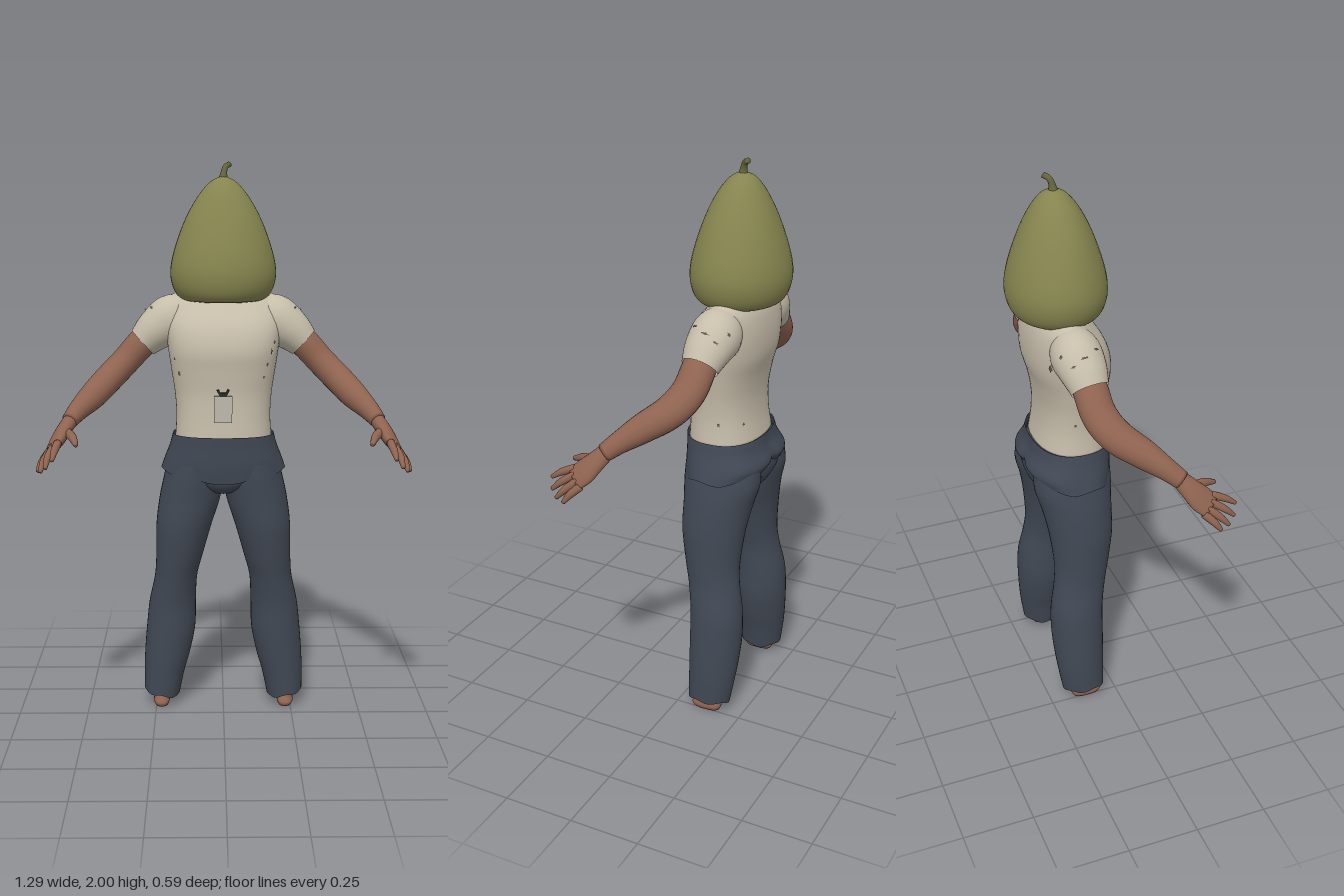
import * as THREE from 'three';

const V = (x, y, z) => new THREE.Vector3(x, y, z);
const paint = (name, color, side = THREE.FrontSide) => {
  const m = new THREE.MeshStandardMaterial({ color, side });
  m.name = name;
  return m;
};

// Smooth body through stations [x, y, z, radiusA, radiusB, roundness].
// Without ref the rings lie flat (stations go upward); with ref they follow the path.
function loft(stations, { ref = null, caps = true, nu = 32, nv = 32, bend = null } = {}) {
  const path = new THREE.CatmullRomCurve3(stations.map((s) => V(s[0], s[1], s[2])));
  const size = new THREE.CatmullRomCurve3(stations.map((s) => V(s[3], s[4], s[5] || 2)));
  // plain uniform spline keeps both curves in step
  path.curveType = size.curveType = 'catmullrom';
  const point = (u, v) => {
    const c = path.getPoint(v), r = size.getPoint(v);
    let e1 = V(1, 0, 0), e2 = V(0, 0, 1);
    if (ref) {
      const t = path.getTangent(v);
      e1 = ref.clone().addScaledVector(t, -ref.dot(t)).normalize();
      e2 = e1.clone().cross(t);
    }
    const round = (k) => Math.sign(k) * Math.pow(Math.abs(k), 2 / r.z);
    c.addScaledVector(e1, round(Math.cos(u)) * r.x).addScaledVector(e2, round(Math.sin(u)) * r.y);
    if (bend) bend(c, u, v);
    return c;
  };
  const pos = [], idx = [];
  for (let j = 0; j <= nv; j++)
    for (let i = 0; i < nu; i++) pos.push(...point((i / nu) * Math.PI * 2, j / nv).toArray());
  for (let j = 0; j < nv; j++)
    for (let i = 0; i < nu; i++) {
      const a = j * nu + i, b = j * nu + ((i + 1) % nu);
      idx.push(a, a + nu, b, b, a + nu, b + nu);
    }
  if (caps) {
    const lo = pos.length / 3, hi = lo + 1, top = nv * nu;
    pos.push(...path.getPoint(0).toArray(), ...path.getPoint(1).toArray());
    for (let i = 0; i < nu; i++) {
      const k = (i + 1) % nu;
      idx.push(lo, i, k, hi, top + k, top + i);
    }
  }
  const geo = new THREE.BufferGeometry();
  geo.setAttribute('position', new THREE.Float32BufferAttribute(pos, 3));
  geo.setIndex(idx);
  geo.computeVertexNormals();
  return { geo, point };
}

// Ragged thin patch lying just above a lofted surface
function tear(point, u, v, du, dv) {
  const lift = (a, b) => {
    const p = point(a, b), e = 0.004;
    const n = point(a, b + e).sub(p).cross(point(a + e, b).sub(p)).normalize();
    return p.addScaledVector(n, 0.003);
  };
  const pos = [...lift(u, v).toArray()], idx = [], n = 9;
  for (let i = 0; i < n; i++) {
    const a = (i / n) * Math.PI * 2, k = 0.75 + 0.25 * Math.sin(i * 2.7 + u * 5);
    pos.push(...lift(u + du * k * Math.cos(a), v + dv * k * Math.sin(a)).toArray());
    idx.push(0, i + 1, ((i + 1) % n) + 1);
  }
  const geo = new THREE.BufferGeometry();
  geo.setAttribute('position', new THREE.Float32BufferAttribute(pos, 3));
  geo.setIndex(idx);
  geo.computeVertexNormals();
  return geo;
}

export function createModel() {
  const D = THREE.DoubleSide;
  const gourd = paint('gourd green', 0x86854f), stalk = paint('stalk olive', 0x66653c);
  const cloth = paint('shirt cream', 0xc6bdaa, D), denim = paint('trouser blue', 0x414854, D);
  const skin = paint('skin brown', 0x8f6350), torn = paint('torn shadow', 0x62594c, D);
  const card = paint('badge grey', 0xbdb9ac), dark = paint('clip dark', 0x2c2b29);

  const model = new THREE.Group();
  const add = (name, geo, mat) => {
    const m = new THREE.Mesh(geo, mat);
    m.name = name;
    model.add(m);
    return m;
  };

  // Gourd head and its curved stalk
  add('gourdHead', loft([
    [0, 1.512, -0.125, 0.11, 0.1], [0, 1.522, -0.125, 0.152, 0.14], [0, 1.56, -0.126, 0.179, 0.163],
    [0, 1.62, -0.127, 0.189, 0.17], [0, 1.7, -0.127, 0.173, 0.155], [0, 1.8, -0.127, 0.136, 0.121],
    [0, 1.88, -0.128, 0.091, 0.083], [0, 1.93, -0.13, 0.048, 0.046], [0, 1.95, -0.13, 0.012, 0.012],
  ], { nu: 40, nv: 40 }).geo, gourd);
  add('stalk', loft([
    [0, 1.935, -0.13, 0.02, 0.02], [0.002, 1.96, -0.132, 0.012, 0.012],
    [0.008, 1.983, -0.14, 0.01, 0.01], [0.022, 1.993, -0.156, 0.01, 0.01],
  ], { ref: V(1, 0, 0), nu: 10, nv: 12 }).geo, stalk);
  add('neck', new THREE.CylinderGeometry(0.06, 0.07, 0.12, 20).translate(0, 1.54, -0.13), skin);

  // Shirt body
  const shirt = loft([
    [0, 1.025, -0.092, 0.174, 0.13, 2.3], [0, 1.11, -0.088, 0.169, 0.12, 2.3],
    [0, 1.19, -0.088, 0.174, 0.118, 2.3], [0, 1.27, -0.09, 0.186, 0.127, 2.4],
    [0, 1.35, -0.097, 0.198, 0.14, 2.5], [0, 1.43, -0.11, 0.208, 0.128, 2.5],
    [0, 1.5, -0.13, 0.205, 0.095, 2.3], [0, 1.54, -0.135, 0.175, 0.065, 2], [0, 1.555, -0.135, 0.1, 0.04, 2],
  ], { nu: 48, nv: 40 });
  add('shirt', shirt.geo, cloth);
  [[0.7, 0.42, 0.05, 0.014], [0.62, 0.49, 0.04, 0.02], [0.75, 0.35, 0.05, 0.01], [0.55, 0.54, 0.05, 0.012],
    [2.5, 0.37, 0.05, 0.02], [2.6, 0.45, 0.04, 0.01], [-0.95, 0.12, 0.04, 0.014], [-2.4, 0.57, 0.06, 0.03],
    [-0.25, 0.13, 0.05, 0.014], [-2.9, 0.2, 0.05, 0.012],
  ].forEach((t) => add('shirtTear', tear(shirt.point, ...t), torn));

  // Badge with clip
  const badge = new THREE.Group();
  badge.name = 'badge';
  const plate = (name, w, h, x, y, z, mat, tilt = 0) => {
    const m = new THREE.Mesh(new THREE.BoxGeometry(w, h, 0.008), mat);
    m.name = name;
    m.position.set(x, y, z);
    m.rotation.z = tilt;
    badge.add(m);
  };
  plate('badgeCard', 0.064, 0.095, -0.002, 1.143, 0.036, card);
  plate('badgeClip', 0.022, 0.014, -0.002, 1.196, 0.037, dark);
  for (const s of [-1, 1]) plate('clipProng', 0.008, 0.024, -0.002 + s * 0.014, 1.203, 0.037, dark, -s * 0.5);
  model.add(badge);

  // Trouser seat and the loose folded waist over it
  add('trouserSeat', loft([
    [0, 0.83, -0.1, 0.05, 0.09], [0, 0.86, -0.104, 0.13, 0.125], [0, 0.92, -0.11, 0.19, 0.14, 2.3],
    [0, 1.035, -0.093, 0.172, 0.13, 2.3],
  ], { nu: 40, nv: 16 }).geo, denim);
  add('foldedWaist', loft([
    [0, 0.91, -0.11, 0.226, 0.143, 2.3], [0, 0.95, -0.113, 0.212, 0.153, 2.4],
    [0, 1.0, -0.1, 0.193, 0.141, 2.4], [0, 1.042, -0.093, 0.182, 0.136, 2.4],
  ], {
    caps: false, nu: 64, nv: 14,
    bend: (p, u, v) => {
      const f = Math.sin(u);
      p.y += (1 - v) ** 2 * ((f > 0 ? -0.035 * f ** 3 : 0.015 * f * f) + 0.004 * Math.sin(u * 7));
      if (f < 0) p.z += 0.02 * (1 - v) * Math.exp(-((p.x / 0.025) ** 2));
    },
  }).geo, denim);

  for (const s of [1, -1]) {
    const side = s > 0 ? 'left' : 'right';
    const P = (rows) => rows.map(([x, ...r]) => [x * s, ...r]);
    const part = (name, rows, opt, mat) => add(side + name, loft(P(rows), opt).geo, mat);

    // Trouser leg, hem rising toward the outside
    part('TrouserLeg', [
      [0.23, 0.05, -0.122, 0.065, 0.078], [0.221, 0.125, -0.127, 0.074, 0.085],
      [0.209, 0.2, -0.13, 0.084, 0.091], [0.195, 0.3, -0.132, 0.09, 0.096],
      [0.188, 0.4, -0.13, 0.086, 0.096], [0.175, 0.5, -0.114, 0.078, 0.095],
      [0.162, 0.58, -0.102, 0.085, 0.1], [0.144, 0.7, -0.097, 0.101, 0.115],
      [0.122, 0.8, -0.104, 0.111, 0.126], [0.108, 0.88, -0.112, 0.108, 0.139], [0.1, 0.94, -0.112, 0.1, 0.138],
    ], {
      caps: false, nu: 36, nv: 44,
      bend: (p, u, v) => { p.y += Math.max(0, 1 - v * 8) * (0.012 * s * Math.cos(u) + 0.004 * Math.sin(u * 5)); },
    }, denim);

    // Ankle and bare foot
    part('Foot', [
      [0.23, 0.005, -0.112, 0.024, 0.05, 2.6], [0.231, 0.02, -0.113, 0.03, 0.056, 2.6],
      [0.23, 0.045, -0.12, 0.028, 0.048], [0.228, 0.1, -0.125, 0.035, 0.038], [0.222, 0.16, -0.127, 0.036, 0.036],
    ], { nu: 20, nv: 14 }, skin);

    // Sleeve with tears
    const ref = V(0, 0, 1);
    const sleeve = loft(P([
      [0.13, 1.452, -0.13, 0.07, 0.08], [0.185, 1.445, -0.127, 0.086, 0.09],
      [0.24, 1.41, -0.12, 0.08, 0.076], [0.289, 1.365, -0.115, 0.064, 0.058],
    ]), { ref, caps: false, nu: 36, nv: 20 });
    add(side + 'Sleeve', sleeve.geo, cloth);
    const up = s > 0 ? -Math.PI / 2 : Math.PI / 2; // ring angle facing upward
    [[0.1, 0.6, 0.22, 0.022], [-0.5, 0.52, 0.16, 0.02], [0.65, 0.66, 0.16, 0.022], [0.95, 0.45, 0.1, 0.03],
      [2.5, 0.93, 0.2, 0.02],
    ].forEach(([du, v, a, b]) => {
      const top = sleeve.point(up, v).y > sleeve.point(-up, v).y ? up : -up;
      const turn = top > 0 ? Math.PI - top - Math.PI / 2 + Math.PI / 2 + du : top - du;
      add(side + 'SleeveTear', tear(sleeve.point, top > 0 ? turn - Math.PI + 2 * top : turn, v, a, b), torn);
    });

    // Bare arm
    part('Arm', [
      [0.21, 1.43, -0.12, 0.055, 0.05], [0.29, 1.365, -0.115, 0.059, 0.053], [0.35, 1.3, -0.106, 0.06, 0.051],
      [0.405, 1.245, -0.068, 0.058, 0.051], [0.458, 1.193, 0.005, 0.05, 0.048],
      [0.505, 1.15, 0.065, 0.038, 0.037], [0.536, 1.115, 0.108, 0.032, 0.028],
    ], { ref: V(s * 0.53, -0.5, -0.68), nu: 24, nv: 36 }, skin);

    // Hand: palm, four fingers and thumb
    const spread = V(s * 0.53, -0.5, -0.68);
    part('Palm', [
      [0.528, 1.123, 0.098, 0.029, 0.026], [0.555, 1.085, 0.132, 0.038, 0.025],
      [0.575, 1.052, 0.162, 0.046, 0.022], [0.592, 1.026, 0.19, 0.042, 0.015],
    ], { ref: spread, nu: 20, nv: 12 }, skin);
    [
      ['IndexFinger', [0.568, 1.055, 0.2], [0.575, 1.035, 0.247], [0.58, 1.01, 0.285]],
      ['MiddleFinger', [0.583, 1.042, 0.188], [0.599, 1.012, 0.235], [0.605, 0.98, 0.27]],
      ['RingFinger', [0.596, 1.028, 0.174], [0.616, 0.994, 0.214], [0.625, 0.962, 0.243]],
      ['LittleFinger', [0.606, 1.013, 0.16], [0.626, 0.984, 0.19], [0.637, 0.957, 0.21]],
      ['Thumb', [0.545, 1.085, 0.135], [0.518, 1.073, 0.195], [0.502, 1.055, 0.242]],
    ].forEach(([name, a, b, c], i) => {
      const r = i === 4 ? 0.015 : 0.0125;
      part(name, [[...a, r * 1.15, r * 1.15], [...b, r, r], [...c, r * 0.55, r * 0.55]],
        { ref: spread, nu: 10, nv: 10 }, skin);
    });
  }
  return model;
}
